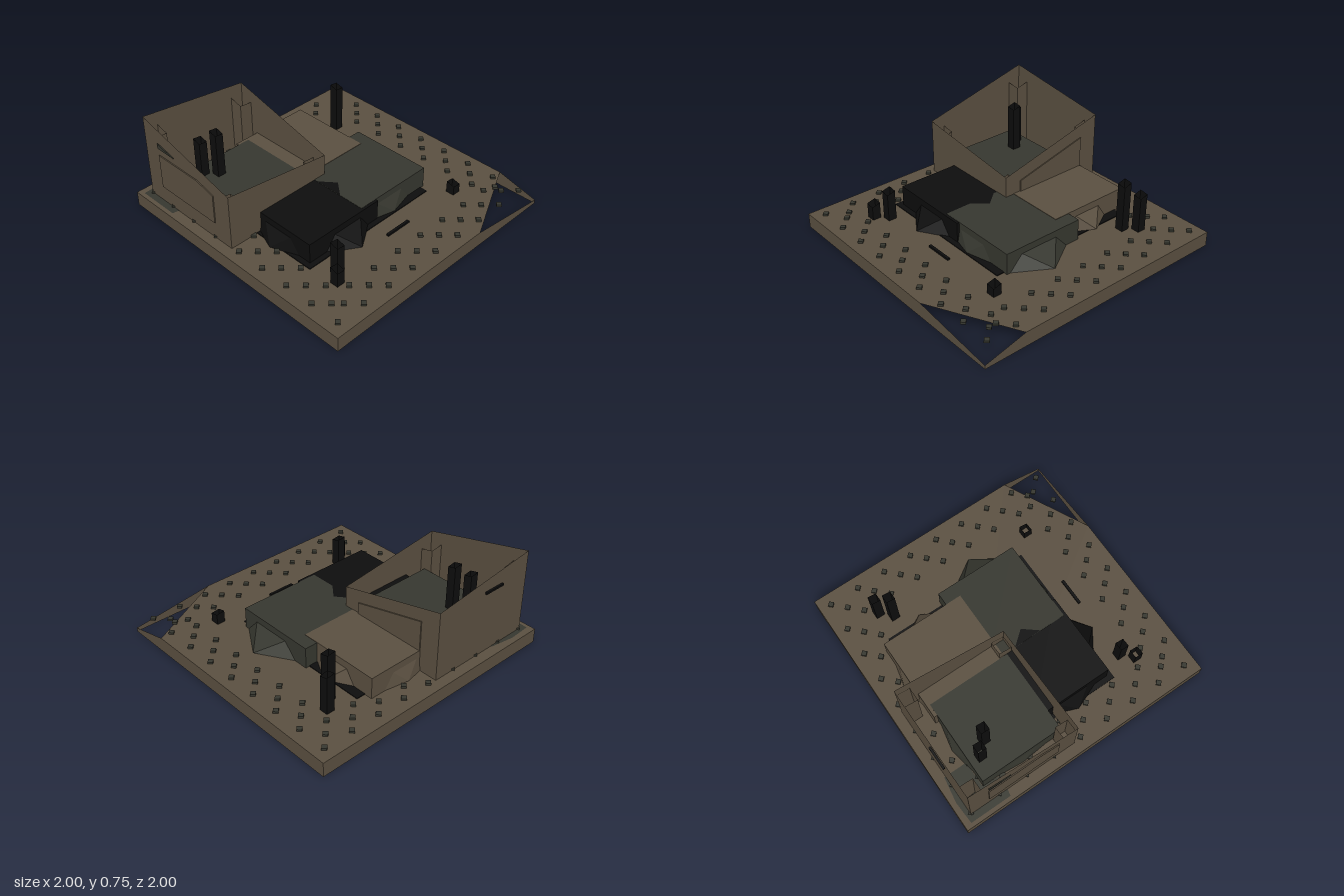
import * as THREE from 'three';

const mat = (name, color, side = THREE.FrontSide) =>
  Object.assign(new THREE.MeshStandardMaterial({ color, side, flatShading: true }), { name });

const DECK = 0.11;
// sloping plane that trims the tops of all upright parts
const slope = (x, z) => 0.405 - 0.25 * x + 0.125 * z;
const lower = (x, z) => slope(x, z) - 0.095;

function faces(points, index) {
  const g = new THREE.BufferGeometry();
  g.setAttribute('position', new THREE.Float32BufferAttribute(points.flat(), 3));
  g.setIndex(index);
  const flat = g.toNonIndexed();
  flat.computeVertexNormals();
  return flat;
}

// open loop of upright walls over [x, z] points, each with its own top height
function wallLoop(loop, y0, top) {
  const points = [], index = [];
  loop.forEach(([x, z], i) => {
    points.push([x, y0, z], [x, top(x, z), z]);
    const a = 2 * i, b = 2 * ((i + 1) % loop.length);
    index.push(a, b, b + 1, a, b + 1, a + 1);
  });
  return faces(points, index);
}
const rect = (x0, x1, z0, z1) => [[x0, z1], [x1, z1], [x1, z0], [x0, z0]];

// horizontal polygon from [x, z] points
function floorShape(pts, y) {
  const g = new THREE.ShapeGeometry(new THREE.Shape(pts.map(([x, z]) => new THREE.Vector2(x, -z))));
  return g.rotateX(-Math.PI / 2).translate(0, y, 0);
}

// upright thin plate from [x, y] points
function plate(pts, z) {
  const shape = new THREE.Shape(pts.map(p => new THREE.Vector2(...p)));
  return new THREE.ExtrudeGeometry(shape, { depth: 0.008, bevelEnabled: false }).translate(0, 0, z);
}

export function createModel() {
  const brown = mat('brown', 0x5a4f40, THREE.DoubleSide);
  const green = mat('dark green', 0x36372f, THREE.DoubleSide);
  const black = mat('black', 0x0d0d0d, THREE.DoubleSide);
  const model = new THREE.Group();
  const add = (name, geometry, material, parent = model) => {
    const m = new THREE.Mesh(geometry, material);
    m.name = name;
    parent.add(m);
    return m;
  };

  // hollow base with a trimmed back corner
  const cutA = [1, -0.36], cutB = [0.68, -1];
  add('baseSkirt', wallLoop([[-1, 1], [1, 1], cutA, [1, -1], cutB, [-1, -1]], 0,
    (x, z) => Math.min(DECK, slope(x, z))), brown);
  add('deck', floorShape([[-1, 1], [1, 1], cutA, cutB, [-1, -1]], DECK), brown);

  // three staggered rings of studs
  const studs = new THREE.Group();
  studs.name = 'studs';
  model.add(studs);
  const studGeo = new THREE.CylinderGeometry(0.025, 0.025, 0.016, 4);
  [[0.91, 9], [0.823, 8], [0.735, 7]].forEach(([r, n]) => {
    const spots = new Map();
    for (let i = 0; i < n; i++) {
      const t = -r + 0.2275 * i;
      [[t, -r], [t, r], [-r, t], [r, t]].forEach(([x, z]) =>
        spots.set(x.toFixed(2) + ',' + z.toFixed(2), [x, z]));
    }
    for (const [x, z] of spots.values())
      add('stud', studGeo, green, studs).position.set(x, DECK + 0.007, z);
  });

  // dark floor and corner patch
  add('darkFloor', new THREE.BoxGeometry(1.16, 0.006, 1.15).translate(-0.13, DECK + 0.003, 0.125), black);
  add('cornerPatch', floorShape([[-0.93, 0.61], [-0.96, 0.8], [-0.95, 0.97], [-0.63, 0.97],
    [-0.6, 0.82], [-0.75, 0.8], [-0.75, 0.61]], DECK + 0.002), green);

  // low blocks with sloping flaps; flaps: [side angle, offset along side, half width, reach]
  const q = Math.PI / 2;
  const blocks = [
    ['blackBlock', black, 0.09, 0.34, 0.268, [[0, 0.02, 0.2, 0.08], [q, 0.03, 0.2, 0.135]]],
    ['backBlock', green, 0.07, -0.16, 0.27, [[2 * q, -0.04, 0.25, 0.16], [q, -0.04, 0.2, 0.05]]],
    ['brownBlock', brown, -0.45, -0.06, 0.273, [[2 * q, -0.02, 0.18, 0.1], [-q, -0.02, 0.18, 0.04]]],
    ['frontBlock', green, -0.425, 0.49, 0.276, [[0, 0, 0.2, 0.02], [-q, 0, 0.2, 0.04]]],
  ];
  for (const [name, material, x, z, top, flaps] of blocks) {
    const block = new THREE.Group();
    block.name = name;
    block.position.set(x, 0, z);
    model.add(block);
    const h = top - DECK;
    add('body', new THREE.BoxGeometry(0.64, h, 0.64).translate(0, DECK + h / 2, 0), material, block);
    for (const [angle, u, w, reach] of flaps) {
      const flap = faces([[u - w, DECK, 0.32], [u + w, DECK, 0.32], [u + w * 0.6, 0.22, 0.321],
        [u - w * 0.6, 0.22, 0.321], [u, DECK + 0.007, 0.32 + reach]], [3, 4, 2, 0, 4, 3, 4, 1, 2]);
      add('flap', flap, material, block).rotation.y = angle;
    }
  }
  // small dark point lying over the back block
  add('point', floorShape([[-0.03, 0.16], [0.19, 0.16], [0.08, 0.07]], 0.2715), black);

  // roofless tall building with inner corner pillars
  add('buildingWalls', wallLoop(rect(-0.92, -0.06, 0.06, 0.92), DECK, slope), brown);
  for (const x of [-0.915, -0.165]) for (const z of [0.065, 0.815])
    add('cornerPillar', wallLoop(rect(x, x + 0.1, z, z + 0.1), DECK, lower), brown);

  // raised panels on the front and back walls
  add('frontPanel', plate([[-0.77, 0.245], [-0.21, 0.245], [-0.21, 0.47], [-0.37, 0.51], [-0.77, 0.51]], 0.921), brown);
  add('backPanel', plate([[-0.77, 0.245], [-0.19, 0.245], [-0.19, 0.36], [-0.77, 0.505]], 0.051), brown);
  add('frontWedge', plate([[-0.77, 0.57], [-0.6, 0.57], [-0.77, 0.608]], 0.925), green);

  // thin dark bars on the left wall and on the deck
  add('wallBar', new THREE.BoxGeometry(0.015, 0.015, 0.17).translate(-0.93, 0.603, 0.575), black);
  add('deckBar', new THREE.BoxGeometry(0.02, 0.014, 0.21).translate(0.58, DECK + 0.007, 0), black);

  // a tall and a short open post near every corner
  for (const sx of [-1, 1]) for (const sz of [-1, 1])
    for (const [d, top] of [[0.58, slope], [0.66, lower]]) {
      const x = sx * d, z = sz * d, r = 0.032;
      if (top(x, z) > DECK)
        add('post', wallLoop(rect(x - r, x + r, z - r, z + r), DECK, top), black);
    }
  return model;
}
